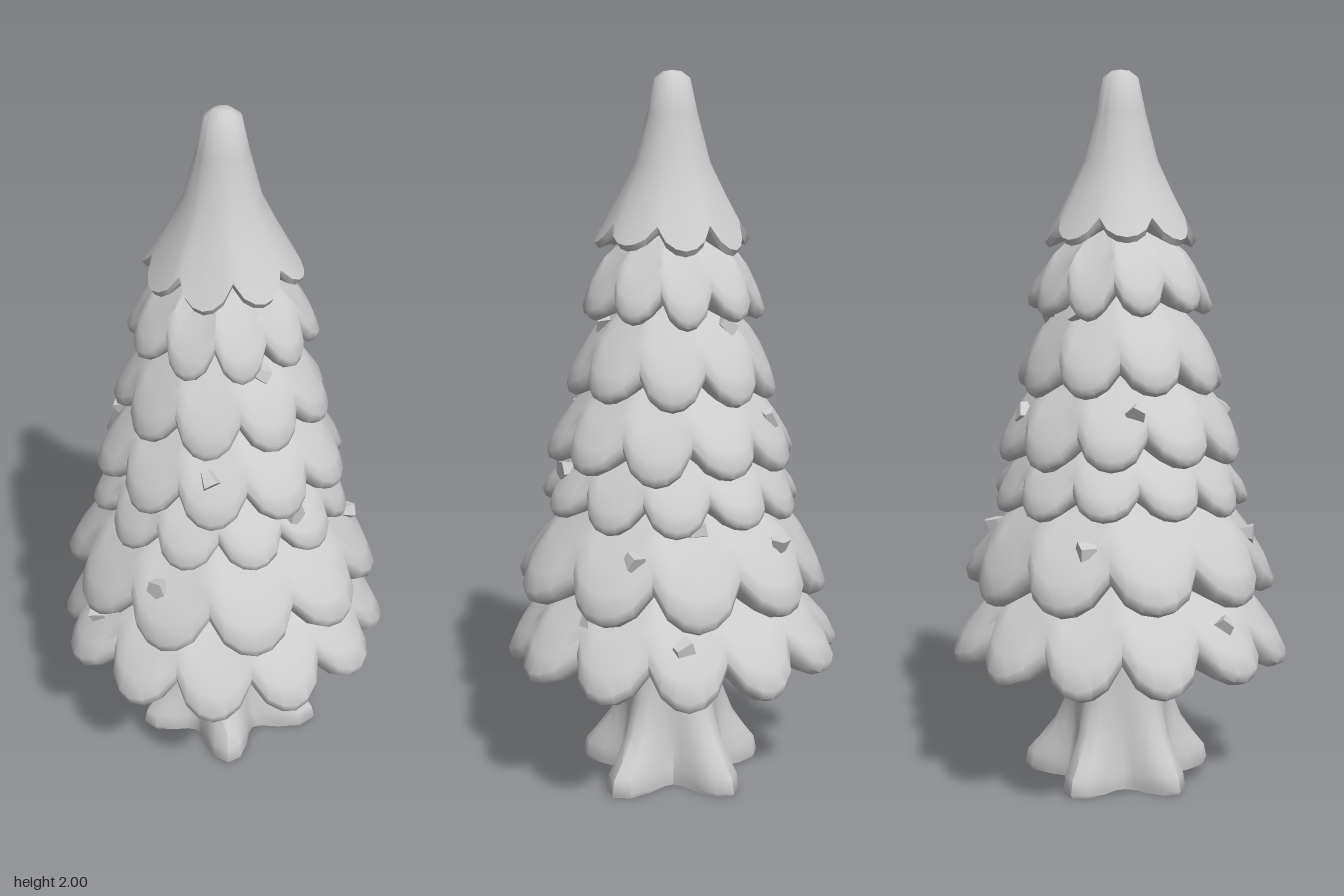
import * as THREE from 'three';
import { toCreasedNormals } from 'three/addons/utils/BufferGeometryUtils.js';

const material = new THREE.MeshStandardMaterial({ color: 0xcccccc });
const TAU = Math.PI * 2;
const rad = THREE.MathUtils.degToRad;

// Closed ring surface: point(row, angle) sampled row by row, from the top down.
function ringSurface(rows, cols, offset, point, crease) {
  const positions = [], index = [];
  for (let i = 0; i < rows; i++) {
    for (let j = 0; j < cols; j++) positions.push(...point(i, offset + (j / cols) * TAU));
  }
  for (let i = 0; i < rows - 1; i++) {
    for (let j = 0; j < cols; j++) {
      const a = i * cols + j, b = i * cols + ((j + 1) % cols);
      index.push(a, b, a + cols, b, b + cols, a + cols);
    }
  }
  const geometry = new THREE.BufferGeometry();
  geometry.setAttribute('position', new THREE.Float32BufferAttribute(positions, 3));
  geometry.setIndex(index);
  return toCreasedNormals(geometry, crease);
}

// Skirt profile: [radius share, height share, lobe strength]; the last rows are the underside.
const skirt = [
  [0, 0, 0], [0.34, 0.25, 0.25], [0.66, 0.49, 0.6], [0.9, 0.71, 0.85],
  [1, 0.88, 1], [0.97, 0.96, 1], [0.86, 1, 1], [0.55, 0.93, 0.6], [0.1, 0.81, 0.15], [-0.45, 0.7, 0],
];
const tipSkirt = [
  [-0.165, 0, 0], [-0.03, 0.008, 0], [0.1, 0.045, 0], [0.21, 0.24, 0.02], [0.4, 0.52, 0.1], [0.65, 0.72, 0.35],
  [0.9, 0.9, 0.8], [1, 0.965, 1], [0.94, 1, 1], [0.5, 0.94, 0.5], [0.2, 0.9, 0],
];

// Branch tiers, bottom to top.
const tiers = [
  { top: 0.66, hem: 0.345, inner: 0.22, outer: 0.475, lobes: 12, turn: 4, notch: 0.08 },
  { top: 0.88, hem: 0.555, inner: 0.2, outer: 0.445, lobes: 10, turn: 0, notch: 0.085 },
  { top: 1.02, hem: 0.795, inner: 0.2, outer: 0.365, lobes: 11, turn: 8, notch: 0.06 },
  { top: 1.2, hem: 0.93, inner: 0.16, outer: 0.35, lobes: 10, turn: 18, notch: 0.07 },
  { top: 1.39, hem: 1.12, inner: 0.13, outer: 0.295, lobes: 9, turn: 10, notch: 0.07 },
  { top: 1.58, hem: 1.335, inner: 0.1, outer: 0.257, lobes: 10, turn: 0, notch: 0.07 },
  { top: 2.0, hem: 1.525, inner: 0.03, outer: 0.214, lobes: 8, turn: 0, notch: 0.06, profile: tipSkirt },
];

// Point on a tier: rounded lobes meet in sharp notches that sit higher and further in.
function tierPoint(tier, row, angle) {
  const [u, v, strength] = (tier.profile || skirt)[row];
  const phase = ((angle - rad(tier.turn)) * tier.lobes) / TAU;
  const lobe = Math.round(phase);
  const f = Math.pow(Math.abs(Math.cos(phase * Math.PI)), 0.7);
  const wrapped = ((lobe % tier.lobes) + tier.lobes) % tier.lobes;
  const vary = Math.sin(wrapped * 4.7 + tier.hem * 31) * f * strength;
  let r = THREE.MathUtils.lerp(tier.inner, tier.outer, u);
  r *= 1 - 0.135 * strength * (1 - f) + 0.02 * vary;
  const y = THREE.MathUtils.lerp(tier.top, tier.hem, v) + strength * tier.notch * (1 - f) + 0.01 * vary;
  return [r * Math.cos(angle), y, r * Math.sin(angle)];
}

function makeTier(tier) {
  const perLobe = 6;
  const rows = (tier.profile || skirt).length;
  const start = rad(tier.turn) + Math.PI / tier.lobes;
  return new THREE.Mesh(
    ringSurface(rows, tier.lobes * perLobe, start, (i, a) => tierPoint(tier, i, a), 0.85), material);
}

// Trunk profile: [height, core radius, root reach]
const trunkRows = [
  [0.56, 0.125, 0], [0.38, 0.132, 0.006], [0.24, 0.132, 0.02], [0.15, 0.135, 0.056],
  [0.09, 0.14, 0.094], [0.05, 0.145, 0.122], [0.01, 0.15, 0.126], [0, 0.148, 0.122], [0, 0, 0],
];

// Five roots, a little longer on one side.
function makeTrunk() {
  return new THREE.Mesh(ringSurface(trunkRows.length, 40, rad(45), (i, a) => {
    const [y, core, reach] = trunkRows[i];
    const root = Math.pow(0.5 + 0.5 * Math.cos(5 * (a - rad(45))), 1.2);
    const r = core + reach * root * (1 + 0.16 * Math.cos(a - rad(25)));
    return [r * Math.cos(a), y, r * Math.sin(a)];
  }, 0.8), material);
}

// Small cones stuck to the branches: [tier, angle in degrees, profile row]
const cones = [
  [0, 49, 2], [0, 6, 2], [0, 184, 2], [1, 27, 2], [1, -3, 1], [1, -45, 2], [1, 150, 2],
  [1, 244, 2], [2, 82, 2], [3, 128, 2], [3, 220, 2], [3, 300, 2], [4, 90, 1], [4, -43, 1], [4, -90, 1],
];

export function createModel() {
  const tree = new THREE.Group();
  tree.name = 'tree';

  const trunk = makeTrunk();
  trunk.name = 'trunk';
  tree.add(trunk);

  tiers.forEach((tier, i) => {
    const mesh = makeTier(tier);
    mesh.name = i === tiers.length - 1 ? 'treeTop' : `branchTier${i + 1}`;
    tree.add(mesh);
  });

  const coneGeometry = toCreasedNormals(new THREE.CylinderGeometry(0.017, 0.03, 0.046, 5), 0.3);
  cones.forEach(([tier, degrees, row], i) => {
    const cone = new THREE.Mesh(coneGeometry, material);
    cone.name = `smallCone${i + 1}`;
    cone.position.fromArray(tierPoint(tiers[tier], row, rad(degrees)));
    cone.rotation.set(i * 1.3, i * 2.1, i * 0.7);
    tree.add(cone);
  });

  return tree;
}
